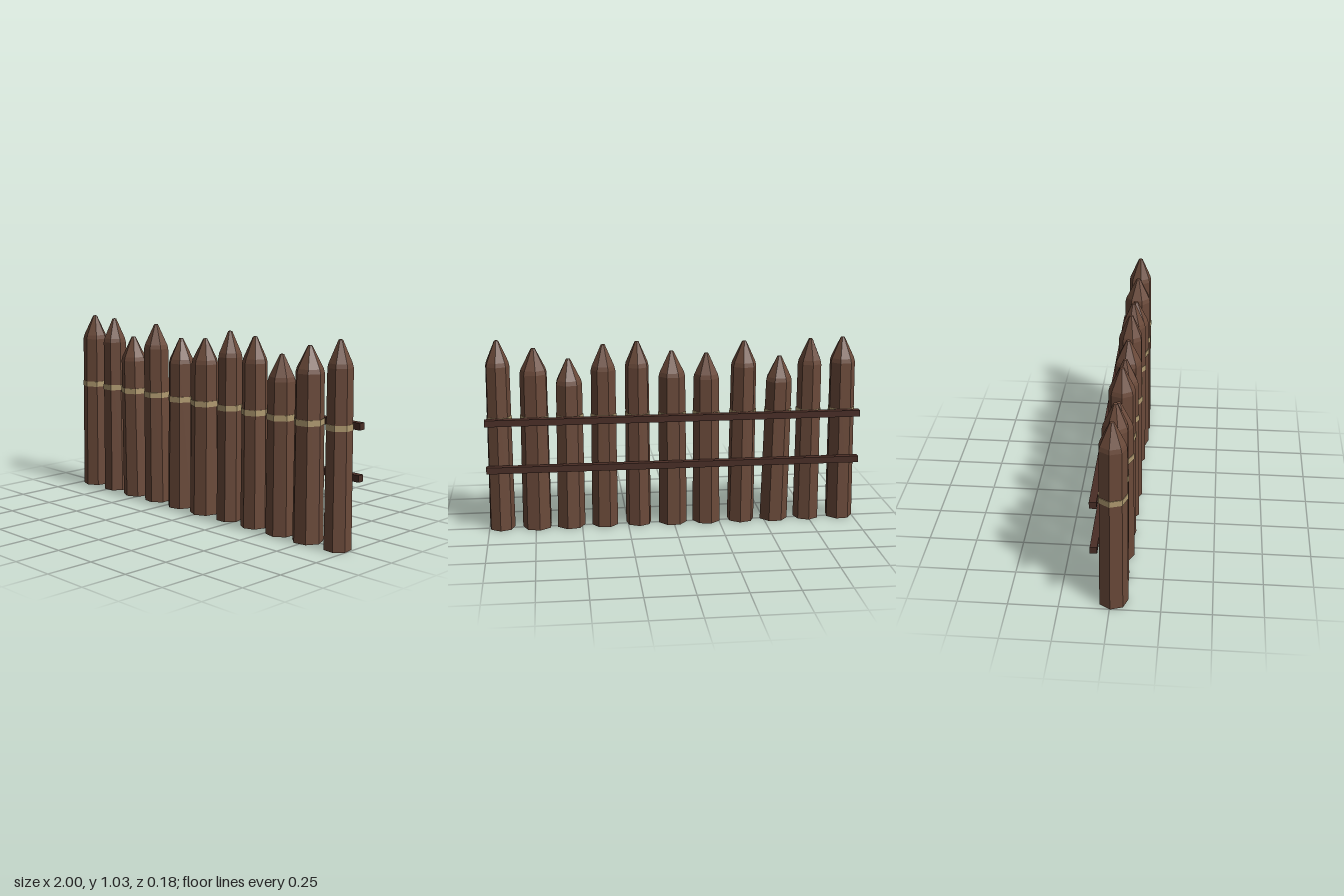
import * as THREE from 'three';

const SIDES = 7;

// Each stake: [foot x, foot radius, tip x, tip height, turn in radians]
const STAKES = [
  [-0.927, 0.075, -0.915, 1.01, 0.1],
  [-0.742, 0.071, -0.74, 1.005, 0.5],
  [-0.556, 0.078, -0.572, 0.915, 0.9],
  [-0.373, 0.075, -0.38, 1.0, 0.3],
  [-0.183, 0.076, -0.177, 0.94, 0.7],
  [0.004, 0.079, 0.01, 0.955, 0.0],
  [0.19, 0.070, 0.194, 1.01, 0.45],
  [0.374, 0.072, 0.372, 0.997, 0.8],
  [0.561, 0.078, 0.556, 0.925, 0.2],
  [0.741, 0.080, 0.737, 0.985, 0.6],
  [0.932, 0.070, 0.925, 1.03, 0.35],
];

export function createModel() {
  const wood = new THREE.MeshStandardMaterial({ color: 0x6b4a3a, flatShading: true });
  wood.name = 'stake wood';
  const darkWood = new THREE.MeshStandardMaterial({ color: 0x4a2e26, flatShading: true });
  darkWood.name = 'rail wood';
  const rope = new THREE.MeshStandardMaterial({ color: 0xb09a70, flatShading: true });
  rope.name = 'rope';

  const fence = new THREE.Group();
  fence.name = 'palisadeFence';

  const add = (parent, geometry, material, name) => {
    const mesh = new THREE.Mesh(geometry, material);
    mesh.name = name;
    parent.add(mesh);
    return mesh;
  };

  STAKES.forEach(([x, r, tipX, h, turn], i) => {
    const stake = new THREE.Group();
    stake.name = `stake${i + 1}`;
    stake.position.set(x, 0, 0.012);
    fence.add(stake);

    // Shear sideways so the foot stays flat while the stake leans
    const lean = (geometry) => {
      const p = geometry.attributes.position;
      for (let k = 0; k < p.count; k++) p.setX(k, p.getX(k) + (p.getY(k) * (tipX - x)) / h);
      geometry.computeVertexNormals();
      return geometry;
    };

    // Tapered trunk with a sharpened, blunt-ended point
    const shoulder = h - 0.135;
    const topR = r * 0.92;
    const profile = [
      [0, 0], [r, 0], [topR, shoulder], [topR * 0.92, shoulder + 0.022], [0.011, h - 0.002], [0, h],
    ].map(([a, b]) => new THREE.Vector2(a, b));
    add(stake, lean(new THREE.LatheGeometry(profile, SIDES, turn)), wood, 'trunk');

    // Rope lashing around the trunk
    const band = new THREE.CylinderGeometry(r * 0.98, r * 0.985, 0.03, SIDES, 1, false, turn);
    band.translate(0, 0.61, 0);
    add(stake, lean(band), rope, 'lashing');
  });

  // Two rails along the back
  for (const [name, y] of [['upperRail', 0.608], ['lowerRail', 0.351]]) {
    add(fence, new THREE.BoxGeometry(2, 0.035, 0.035), darkWood, name).position.set(0, y, -0.0725);
  }

  return fence;
}
